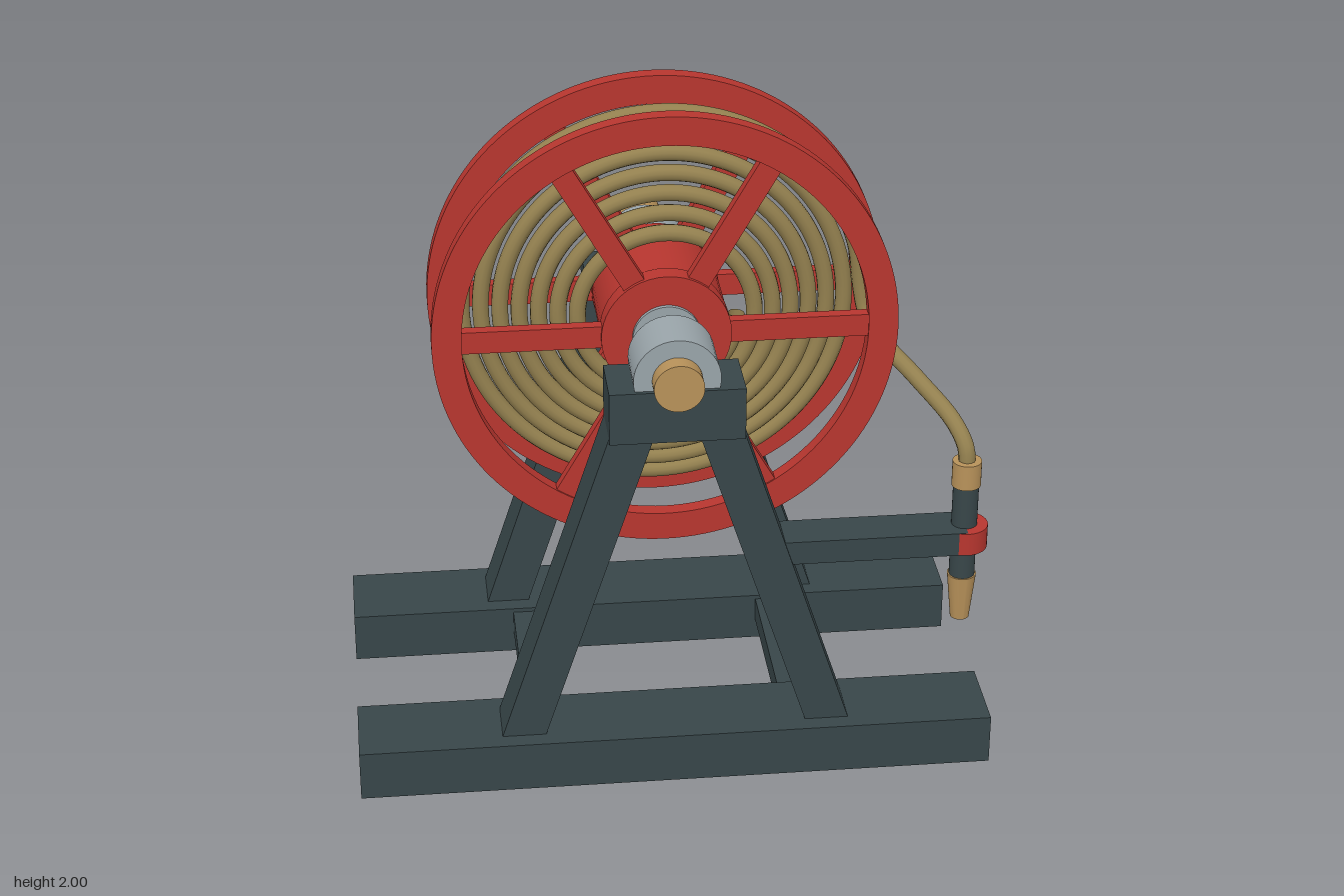
import * as THREE from 'three';
import { toCreasedNormals } from 'three/addons/utils/BufferGeometryUtils.js';

const paint = (color) => new THREE.MeshStandardMaterial({ color });
const RED = paint(0xb8362f), SLATE = paint(0x384649), BRASS = paint(0xb8925a);
const STEEL = paint(0x9aa5aa), HOSE = paint(0x93804f);

const AXLE_Y = 1.32, MID_Z = 0.078;
const NOZZLE_X = 0.86, NOZZLE_Z = 0.463;

function add(parent, name, geometry, material, x = 0, y = 0, z = 0) {
  const mesh = new THREE.Mesh(geometry, material);
  mesh.name = name;
  mesh.position.set(x, y, z);
  parent.add(mesh);
  return mesh;
}

// Box given by its minimum and maximum corners
function box(parent, name, material, [x0, y0, z0], [x1, y1, z1]) {
  return add(parent, name, new THREE.BoxGeometry(x1 - x0, y1 - y0, z1 - z0), material,
    (x0 + x1) / 2, (y0 + y1) / 2, (z0 + z1) / 2);
}

// Cylinder on the axle, running from z0 to z1
function axial(parent, name, material, radius, z0, z1) {
  const geometry = new THREE.CylinderGeometry(radius, radius, z1 - z0, 40).rotateX(Math.PI / 2);
  return add(parent, name, geometry, material, 0, AXLE_Y, (z0 + z1) / 2);
}

function lathe(points) {
  const profile = points.map(([r, y]) => new THREE.Vector2(r, y));
  return toCreasedNormals(new THREE.LatheGeometry(profile, 32), 0.6);
}

// One side of the stand: rail, two slanted legs, head block and bearing
function standSide(name, z) {
  const side = new THREE.Group();
  side.name = name;
  box(side, 'baseRail', SLATE, [-0.945, 0, z - 0.13], [0.945, 0.155, z + 0.13]);
  for (const s of [-1, 1]) {
    const shape = new THREE.Shape([[0.52, 0.15], [0.185, 1.17], [0.055, 1.17], [0.39, 0.15]]
      .map(([x, y]) => new THREE.Vector2(s * x, y)));
    const leg = new THREE.ExtrudeGeometry(shape, { depth: 0.155, bevelEnabled: false });
    add(side, s > 0 ? 'leftLeg' : 'rightLeg', leg, SLATE, 0, 0, z - 0.0775);
  }
  box(side, 'headBlock', SLATE, [-0.195, 1.13, z - 0.095], [0.195, 1.29, z + 0.095]);
  axial(side, 'bearing', STEEL, 0.125, z - 0.082, z + 0.082);
  return side;
}

// Wheel of the reel: rim, six spokes and hub disc
function flange(name, z) {
  const wheel = new THREE.Group();
  wheel.name = name;
  wheel.position.set(0, AXLE_Y, z);
  const ring = new THREE.Shape().absarc(0, 0, 0.68, 0, Math.PI * 2);
  ring.holes.push(new THREE.Path().absarc(0, 0, 0.593, 0, Math.PI * 2, true));
  const rim = new THREE.ExtrudeGeometry(ring, { depth: 0.047, bevelEnabled: false, curveSegments: 72 });
  add(wheel, 'rim', toCreasedNormals(rim, 0.5), RED, 0, 0, -0.0235);
  for (let i = 0; i < 6; i++) {
    const spoke = new THREE.BoxGeometry(0.46, 0.068, 0.036).translate(0.38, 0, 0);
    add(wheel, 'spoke', spoke, RED).rotation.z = i * Math.PI / 3;
  }
  add(wheel, 'hubDisc', new THREE.CylinderGeometry(0.19, 0.19, 0.06, 48).rotateX(Math.PI / 2), RED);
  return wheel;
}

// Hose: a shallow conical spiral, then a run down to the nozzle
function hosePath() {
  const points = [], turns = 7, steps = 24;
  for (let i = 0; i <= turns * steps; i++) {
    const t = i / (turns * steps), a = -t * turns * Math.PI * 2;
    const r = 0.22 + 0.39 * t;
    points.push(new THREE.Vector3(r * Math.cos(a), AXLE_Y + r * Math.sin(a), 0.132 - 0.12 * t));
  }
  for (const p of [[0.623, 1.255, 0.025], [0.652, 1.2, 0.08], [0.744, 1.135, 0.25],
    [0.825, 1.07, 0.4], [0.855, 1.01, 0.453], [NOZZLE_X, 0.95, NOZZLE_Z]]) {
    points.push(new THREE.Vector3(...p));
  }
  return new THREE.CatmullRomCurve3(points);
}

export function createModel() {
  const model = new THREE.Group();
  model.name = 'hoseReel';

  // Stand
  model.add(standSide('frontStand', MID_Z + 0.386), standSide('backStand', MID_Z - 0.386));
  for (const x of [-0.388, 0.388]) {
    box(model, 'crossbar', SLATE, [x - 0.053, 0.068, -0.2], [x + 0.053, 0.142, 0.35]);
  }

  // Axle with end cap and hollow inlet
  axial(model, 'axle', STEEL, 0.05, -0.39, 0.545);
  axial(model, 'axleCollar', STEEL, 0.1, MID_Z - 0.2, MID_Z + 0.2);
  axial(model, 'endCap', BRASS, 0.072, 0.54, 0.6);
  const inlet = lathe([[0, 0], [0.074, 0], [0.074, 0.205], [0.032, 0.205], [0.032, 0.08], [0, 0.08]]);
  add(model, 'inlet', inlet.rotateX(-Math.PI / 2), BRASS, 0, AXLE_Y, -0.395);

  // Reel
  model.add(flange('frontFlange', MID_Z + 0.157), flange('backFlange', MID_Z - 0.157));
  axial(model, 'drum', RED, 0.188, MID_Z - 0.16, MID_Z + 0.16);

  // Hose
  add(model, 'hose', new THREE.TubeGeometry(hosePath(), 900, 0.025, 12), HOSE).material.side = THREE.DoubleSide;

  // Holder arm and nozzle
  box(model, 'holderArm', SLATE, [0.32, 0.687, NOZZLE_Z - 0.065], [NOZZLE_X, 0.761, NOZZLE_Z + 0.065]);
  const nozzle = new THREE.Group();
  nozzle.name = 'nozzle';
  nozzle.position.set(NOZZLE_X, 0, NOZZLE_Z);
  add(nozzle, 'clamp', new THREE.CylinderGeometry(0.07, 0.07, 0.072, 32), RED, 0, 0.724, 0);
  add(nozzle, 'coupling', new THREE.CylinderGeometry(0.043, 0.043, 0.08, 32), BRASS, 0, 0.93, 0);
  add(nozzle, 'grip', new THREE.CylinderGeometry(0.038, 0.038, 0.31, 32), SLATE, 0, 0.74, 0);
  add(nozzle, 'tip', lathe([[0, 0.5], [0.016, 0.5], [0.016, 0.442], [0.028, 0.442],
    [0.043, 0.59], [0, 0.59]]), BRASS);
  model.add(nozzle);
  return model;
}
